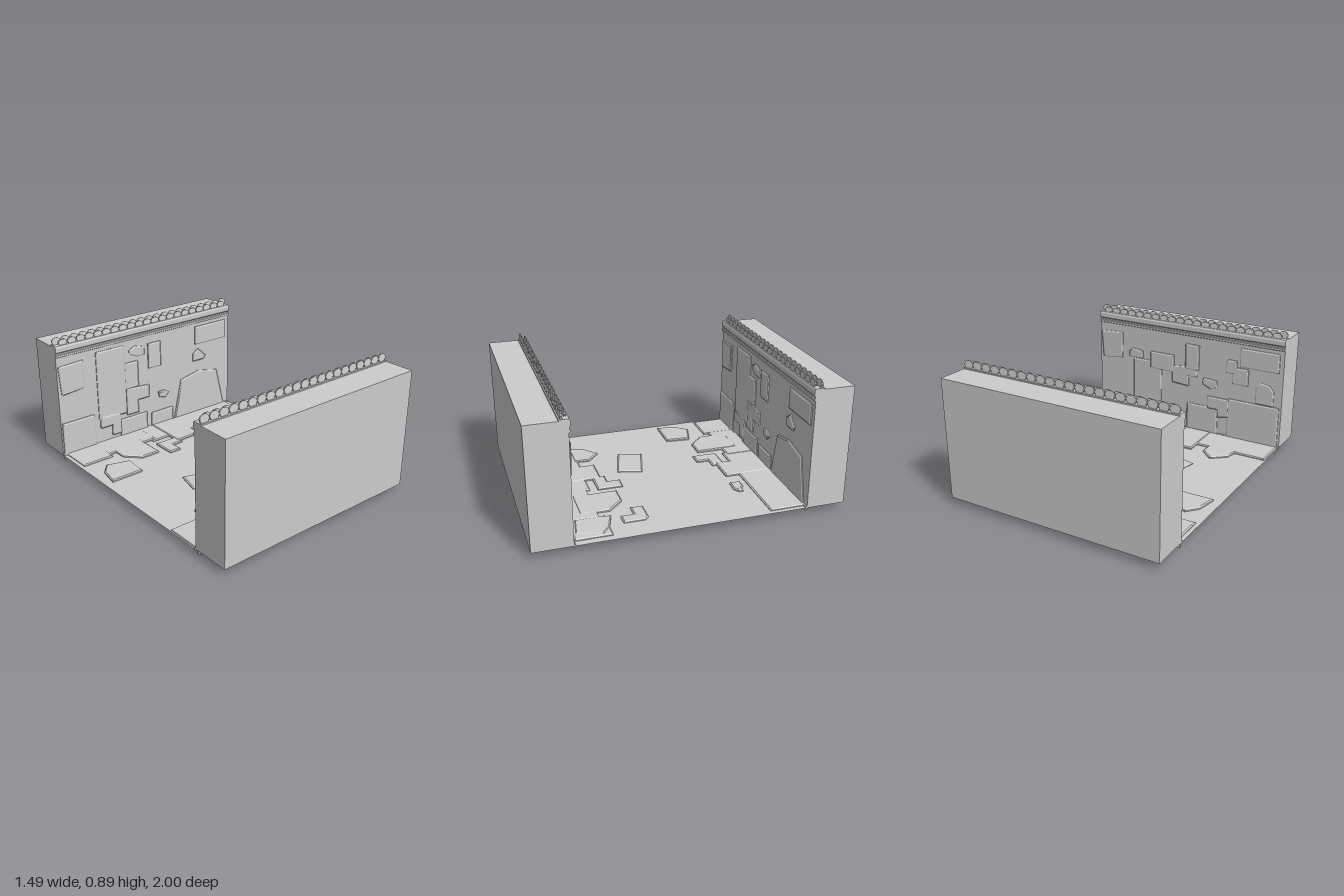
import * as THREE from 'three';

const W = 0.747;      // half length of the trench
const INNER = 0.745;  // distance of the wall faces from the middle
const FLOOR = 0.045;  // floor level

const grey = new THREE.MeshStandardMaterial({ color: 0xcccccc, flatShading: true, side: THREE.DoubleSide });

function add(parent, name, geometry) {
  const mesh = new THREE.Mesh(geometry, grey);
  mesh.name = name;
  parent.add(mesh);
  return mesh;
}

const rect = (x0, y0, x1, y1) => [[x0, y0], [x1, y0], [x1, y1], [x0, y1]];

// Thin plate with chamfered edges, centred on its own plane
function plate(points, rise) {
  const shape = new THREE.Shape(points.map(([x, y]) => new THREE.Vector2(x, y)));
  const bevel = 0.006;
  const geometry = new THREE.ExtrudeGeometry(shape, {
    depth: 2 * (rise - bevel), bevelEnabled: true, bevelThickness: bevel,
    bevelSize: 0.008, bevelOffset: -0.008, bevelSegments: 1,
  });
  return geometry.translate(0, 0, bevel - rise);
}

const riseOf = (i) => 0.011 + 0.002 * (i % 3);

function floorPlates(parent, list) {
  list.forEach((points, i) => {
    const geometry = plate(points, riseOf(i)).rotateX(Math.PI / 2).translate(0, FLOOR, 0);
    add(parent, 'floorPlate', geometry);
  });
}

// Plates laid along both walls, as [x, z]
const sharedFloor = [
  rect(-0.72, -0.745, -0.49, -0.51),
  rect(-0.5, -0.74, -0.1, -0.545),
  [[-0.44, -0.655], [-0.205, -0.655], [-0.205, -0.36], [-0.34, -0.36], [-0.44, -0.46]],
  rect(-0.14, -0.745, 0.09, -0.52),
  [[-0.15, -0.47], [0.02, -0.47], [0.02, -0.385], [-0.06, -0.385], [-0.06, -0.3], [-0.15, -0.3]],
  rect(0, -0.74, 0.2, -0.415),
  rect(0.16, -0.745, 0.715, -0.51),
];
const backFloor = [
  [[0.3, -0.47], [0.365, -0.47], [0.385, -0.45], [0.425, -0.45], [0.425, -0.42], [0.385, -0.395], [0.3, -0.4]],
  [[-0.6, -0.42], [-0.44, -0.375], [-0.455, -0.205], [-0.69, -0.205], [-0.665, -0.345]],
];
const frontFloor = [
  [[-0.3, 0.035], [-0.04, 0.105], [-0.085, 0.27], [-0.34, 0.2]],
  [[-0.52, 0.52], [-0.5, 0.42], [-0.4, 0.335], [-0.31, 0.415], [-0.31, 0.52]],
  [[0.485, 0.46], [0.615, 0.5], [0.685, 0.555], [0.63, 0.715], [0.475, 0.69]],
  [[0.42, 0.24], [0.56, 0.24], [0.585, 0.265], [0.585, 0.405], [0.505, 0.405], [0.505, 0.32], [0.42, 0.32]],
];

// Wall plates as [sideways, up], seen from inside the trench
const sharedWall = [
  [[-0.738, 0.7], [-0.545, 0.71], [-0.552, 0.507], [-0.722, 0.49]],
  rect(0.422, 0.6, 0.715, 0.74),
  rect(-0.01, 0.515, 0.1, 0.705),
];
const backWall = [
  rect(-0.444, 0.22, -0.21, 0.738),
  rect(-0.22, 0.4, -0.1, 0.6),
  [[-0.21, 0.41], [-0.01, 0.39], [-0.01, 0.295], [-0.11, 0.295], [-0.11, 0.2], [-0.21, 0.2]],
  [[-0.17, 0.69], [-0.12, 0.715], [-0.04, 0.69], [-0.04, 0.63], [-0.11, 0.63], [-0.17, 0.66]],
  rect(-0.738, 0.01, -0.48, 0.284),
  [[-0.436, 0.25], [-0.266, 0.24], [-0.266, 0.08], [-0.34, 0.08], [-0.34, 0.16], [-0.436, 0.16]],
  rect(-0.27, 0.01, -0.034, 0.18),
  rect(0.005, 0.02, 0.2, 0.157),
  [[0.07, 0.31], [0.13, 0.31], [0.165, 0.285], [0.13, 0.25], [0.08, 0.265]],
  [[0.206, 0.01], [0.283, 0.35], [0.453, 0.386], [0.63, 0.349], [0.71, 0.01]],
  [[0.4, 0.47], [0.4, 0.53], [0.45, 0.565], [0.52, 0.5], [0.5, 0.47]],
];
const frontWall = [
  rect(-0.452, 0, -0.21, 0.525),
  [[-0.49, 0.575], [-0.46, 0.6], [-0.37, 0.59], [-0.37, 0.53], [-0.49, 0.53]],
  rect(-0.305, 0.47, -0.105, 0.6),
  [[-0.12, 0.52], [0.085, 0.54], [0.085, 0.46], [0.02, 0.46], [0.02, 0.38], [-0.12, 0.39]],
  [[0.136, 0.47], [0.25, 0.46], [0.25, 0.41], [0.2, 0.39], [0.136, 0.42]],
  [[0.32, 0.64], [0.4, 0.64], [0.4, 0.59], [0.49, 0.59], [0.49, 0.465], [0.37, 0.465], [0.37, 0.54], [0.32, 0.54]],
  [[0.55, 0.345], [0.55, 0.48], [0.58, 0.51], [0.65, 0.5], [0.685, 0.46], [0.685, 0.345]],
  rect(0.34, 0, 0.73, 0.345),
  [[0.18, 0.335], [0.35, 0.335], [0.35, 0.2], [0.26, 0.18], [0.26, 0.24], [0.18, 0.24]],
  rect(0.01, 0.01, 0.26, 0.25),
  [[-0.61, 0.185], [-0.46, 0.185], [-0.46, 0.01], [-0.54, 0.01], [-0.54, 0.07], [-0.61, 0.07]],
];

// Row of round-topped crest tiles, each tapering to a narrow foot
function crestRow(parent, z, top, offset) {
  const pitch = (2 * W) / 22;
  const base = 0.835;
  const profile = [[-0.34, 0], [-0.36, 0.3], [-0.49, 0.55], [-0.42, 0.8], [-0.2, 1],
    [0.2, 1], [0.42, 0.8], [0.49, 0.55], [0.36, 0.3], [0.34, 0]];
  const shape = new THREE.Shape(profile.map(([x, y]) => new THREE.Vector2(x * pitch, y * (top - base))));
  const geometry = new THREE.ExtrudeGeometry(shape, { depth: 0.02, bevelEnabled: false });
  // thin the tile towards its upper edge
  const p = geometry.attributes.position;
  for (let i = 0; i < p.count; i++) {
    const t = p.getY(i) / (top - base);
    p.setZ(i, (p.getZ(i) - 0.01) * (1 - 0.75 * t));
  }
  geometry.computeVertexNormals();
  const count = offset ? 21 : 22;
  for (let i = 0; i < count; i++) {
    const tile = add(parent, 'crestTile', geometry);
    tile.position.set(-W + (i + 0.5 + offset) * pitch, base, z);
  }
}

// One side of the trench: hollow block, cornice, crest and plates, facing +z
function buildWall(name, plates) {
  const wall = new THREE.Group();
  wall.name = name;

  // block without an underside
  const block = new THREE.BoxGeometry(2 * W, 0.84 - FLOOR, 1 - INNER);
  const index = Array.from(block.index.array);
  index.splice(18, 6);
  block.setIndex(index);
  block.clearGroups();
  block.translate(0, (0.84 + FLOOR) / 2, -(1 + INNER) / 2);
  add(wall, 'wallBlock', block);

  // stepped cornice profile [z, y] run along the wall
  const profile = [[-0.8, 0.838], [-0.8, 0.848], [-0.74, 0.848], [-0.734, 0.835], [-0.734, 0.805],
    [-0.742, 0.797], [-0.742, 0.787], [-0.737, 0.783], [-0.737, 0.77], [-0.75, 0.762], [-0.75, 0.838]];
  const shape = new THREE.Shape(profile.map(([z, y]) => new THREE.Vector2(-z, y)));
  const cornice = new THREE.ExtrudeGeometry(shape, { depth: 2 * W, bevelEnabled: false });
  cornice.rotateY(Math.PI / 2).translate(-W, 0, 0);
  add(wall, 'cornice', cornice);

  crestRow(wall, -0.784, 0.895, 0);
  crestRow(wall, -0.756, 0.885, 0.5);

  // skirting where wall meets floor
  const skirting = new THREE.BoxGeometry(2 * W, 0.018, 0.014);
  add(wall, 'skirting', skirting.translate(0, FLOOR, -0.742));

  plates.forEach((points, i) => {
    add(wall, 'wallPlate', plate(points, riseOf(i)).translate(0, 0, -INNER));
  });
  return wall;
}

export function createModel() {
  const model = new THREE.Group();
  model.name = 'trench';

  // floor sheet
  const floor = new THREE.PlaneGeometry(2 * W, 2 * INNER).rotateX(-Math.PI / 2).translate(0, FLOOR, 0);
  add(model, 'floor', floor);

  // walls face each other
  model.add(buildWall('backWall', [...sharedWall, ...backWall]));
  const front = buildWall('frontWall', [...sharedWall, ...frontWall]);
  front.rotation.y = Math.PI;
  model.add(front);

  // floor plates, the shared set turned round for the front side
  floorPlates(model, [...sharedFloor, ...backFloor]);
  floorPlates(model, frontFloor);
  const turned = new THREE.Group();
  turned.name = 'frontFloorPlates';
  floorPlates(turned, sharedFloor);
  turned.rotation.y = Math.PI;
  turned.position.set(-0.022, 0, -0.012);
  model.add(turned);

  return model;
}
